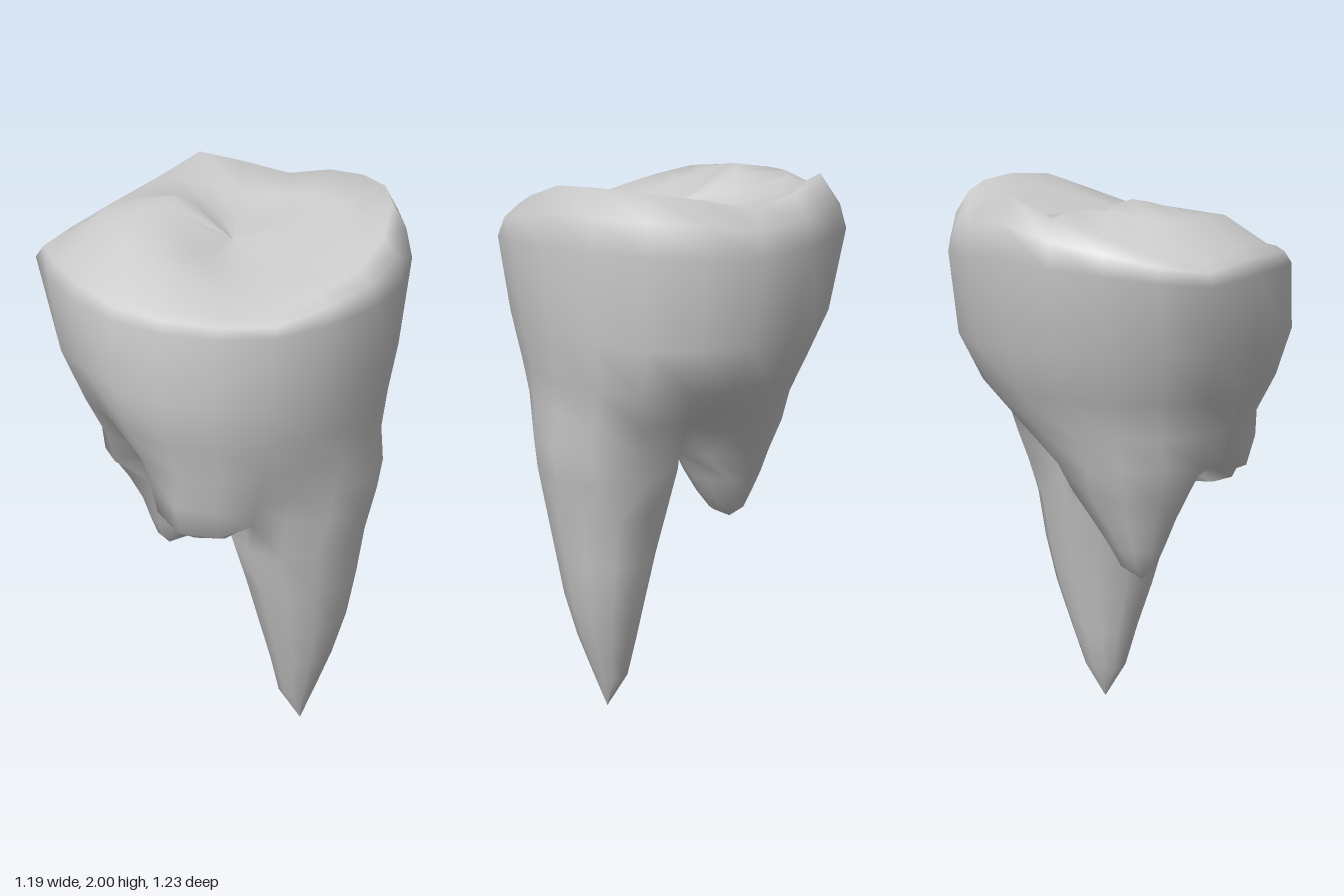
import * as THREE from 'three';

const SIDES = 20;

// Heights every 18 degrees from +x towards +z: inner cusps, outer cusps, rim
const INNER = [1.87, 1.88, 1.88, 1.87, 1.86, 1.85, 1.84, 1.83, 1.83, 1.84,
  1.87, 1.9, 1.94, 1.96, 1.97, 1.95, 1.9, 1.87, 1.86, 1.86];
const OUTER = [1.92, 1.93, 1.94, 1.92, 1.9, 1.86, 1.83, 1.81, 1.82, 1.85,
  1.88, 1.91, 1.92, 1.92, 1.93, 1.95, 1.95, 1.92, 1.89, 1.89];
const RIM = [1.97, 1.99, 2, 1.99, 1.93, 1.87, 1.83, 1.77, 1.77, 1.78,
  1.79, 1.82, 1.83, 1.8, 1.83, 1.88, 1.93, 2, 1.96, 1.93];

// Roots: first and last crown column, facing angle, levels of y, xMin, xMax, zBack, zFront.
// The first two levels shape the neck where the roots are still joined.
const ROOTS = [
  { // long front root
    from: 19, to: 27, facing: 60, levels: [
      [1.08, -0.25, 0.405, -0.02, 0.515],
      [0.97, -0.21, 0.37, 0, 0.505],
      [0.83, -0.2, 0.33, 0.03, 0.48],
      [0.65, -0.15, 0.305, 0.08, 0.45],
      [0.47, -0.1, 0.265, 0.12, 0.42],
      [0.3, -0.045, 0.21, 0.155, 0.375],
      [0.14, 0, 0.155, 0.19, 0.32],
      [0, 0.08, 0.08, 0.27, 0.27],
    ],
  },
  { // blunt side stub
    from: 7, to: 11, facing: 160, levels: [
      [1.08, -0.48, -0.1, -0.06, 0.36],
      [0.97, -0.45, -0.13, -0.04, 0.32],
      [0.945, -0.41, -0.18, 0, 0.28],
      [0.94, -0.3, -0.3, 0.14, 0.14],
    ],
  },
  { // short back root
    from: 11, to: 19, facing: 270, levels: [
      [1.08, -0.38, 0.22, -0.4, 0.02],
      [0.97, -0.28, 0.15, -0.365, 0],
      [0.86, -0.215, 0.08, -0.33, -0.04],
      [0.77, -0.18, 0.02, -0.3, -0.09],
      [0.7, -0.15, -0.02, -0.27, -0.14],
      [0.65, -0.1, -0.1, -0.22, -0.22],
    ],
  },
];

const rad = THREE.MathUtils.degToRad;
const lerp = THREE.MathUtils.lerp;

// Soft bump around an angle, in degrees
const bump = (a, centre, width) => {
  const d = ((a - centre + 540) % 360) - 180;
  return Math.exp(-(d * d) / (width * width));
};

// Point on the ellipse that fills a level's bounds
const onEllipse = ([y, x0, x1, z0, z1], a) => [
  (x0 + x1) / 2 + (x1 - x0) / 2 * Math.cos(rad(a)),
  y,
  (z0 + z1) / 2 + (z1 - z0) / 2 * Math.sin(rad(a)),
];

// Outermost point of the joined roots in direction a, seen from the neck axis
function onNeck(level, a) {
  const ox = -0.05, oz = 0.03, dx = Math.cos(rad(a)), dz = Math.sin(rad(a));
  let reach = 0.08;
  for (const { levels } of ROOTS) {
    const [, x0, x1, z0, z1] = levels[level];
    const rx = (x1 - x0) / 2, rz = (z1 - z0) / 2;
    const px = (ox - (x0 + x1) / 2) / rx, pz = (oz - (z0 + z1) / 2) / rz;
    const qx = dx / rx, qz = dz / rz;
    const A = qx * qx + qz * qz, B = px * qx + pz * qz, C = px * px + pz * pz - 1;
    const disc = B * B - A * C;
    if (disc > 0) reach = Math.max(reach, (-B + Math.sqrt(disc)) / A);
  }
  return [ox + dx * reach, oz + dz * reach];
}

function toothGeometry() {
  const positions = [], index = [];
  const add = (p) => positions.push(...p) / 3 - 1;
  const ring = (point) => Array.from({ length: SIDES }, (_, j) => add(point(j * 360 / SIDES, j)));
  // Join two closed loops, upper or inner one first
  const bridge = (top, low) => top.forEach((a, j) => {
    const k = (j + 1) % top.length;
    index.push(a, top[k], low[j], top[k], low[k], low[j]);
  });

  // Plan outline with a swollen corner at the back
  const outline = (a, s, y) => [
    0.592 * s * Math.cos(rad(a)),
    y,
    s * (0.605 * Math.sin(rad(a)) - 0.105 * bump(a, 235, 19) + 0.025 * bump(a, 285, 20)),
  ];
  const bulge = (j) => 0.35 * RIM[j] + 1.11;

  // Chewing surface, rim and rounded shoulder
  const rings = [
    ring((a) => outline(a, 0, 1.85)),
    ring((a, j) => outline(a, 0.35, INNER[j])),
    ring((a, j) => outline(a, 0.65, OUTER[j])),
    ring((a, j) => outline(a, 0.88, RIM[j])),
    ring((a, j) => outline(a, 0.96, (RIM[j] + bulge(j)) / 2 + 0.01)),
    ring((a, j) => outline(a, 1, bulge(j))),
  ];

  // Walls that blend from the crown into the joined roots
  const walls = [
    [[1.5, -0.6, 0.57, -0.53, 0.57], 0, 0.07],
    [[1.33, -0.56, 0.535, -0.465, 0.54], 0.1, 0.04],
    [[1.2, -0.51, 0.485, -0.42, 0.525], 0.4, 0.02],
  ];
  for (const [level, blend, corner] of walls) {
    rings.push(ring((a) => {
      const [x, y, z] = onEllipse(level, a);
      const [nx, nz] = onNeck(0, a);
      return [lerp(x, nx, blend), y + 0.03 * bump(a, 198, 14), lerp(z, nz, blend) - corner * bump(a, 235, 22)];
    }));
  }
  [1.08, 0.97].forEach((y, level) => rings.push(ring((a) => {
    const [x, z] = onNeck(level, a);
    return [x, y + (0.06 + 0.05 * level) * bump(a, 198, 14), z];
  })));
  for (let i = 1; i < rings.length; i++) bridge(rings[i - 1], rings[i]);

  // Fork under the neck: a centre point and one point towards each furrow
  const neck = rings[rings.length - 1];
  const centre = [-0.05, 1.02, 0.03];
  const fork = add(centre);
  const ribs = {};
  for (const { from } of ROOTS) {
    const p = neck[from] * 3;
    ribs[from] = add(centre.map((c, i) => (c + positions[p + i]) / 2));
  }

  // Each root grows down from its arc of the neck, closed through the fork
  for (const { from, to, facing, levels } of ROOTS) {
    let loop = [];
    for (let j = from; j <= to; j++) loop.push(neck[j % SIDES]);
    const middle = (to - from) / 2;
    loop.push(ribs[to % SIDES], fork, ribs[from]);
    for (const level of levels.slice(2)) {
      const next = loop.map((_, i) => add(onEllipse(level, facing + (i - middle) * 360 / loop.length)));
      bridge(loop, next);
      loop = next;
    }
  }

  const geometry = new THREE.BufferGeometry();
  geometry.setAttribute('position', new THREE.Float32BufferAttribute(positions, 3));
  geometry.setIndex(index);
  geometry.computeVertexNormals();
  return geometry;
}

export function createModel() {
  const group = new THREE.Group();
  group.name = 'tooth';
  const body = new THREE.Mesh(toothGeometry(), new THREE.MeshStandardMaterial({ color: 0xcccccc }));
  body.name = 'crownAndRoots';
  group.add(body);
  return group;
}
